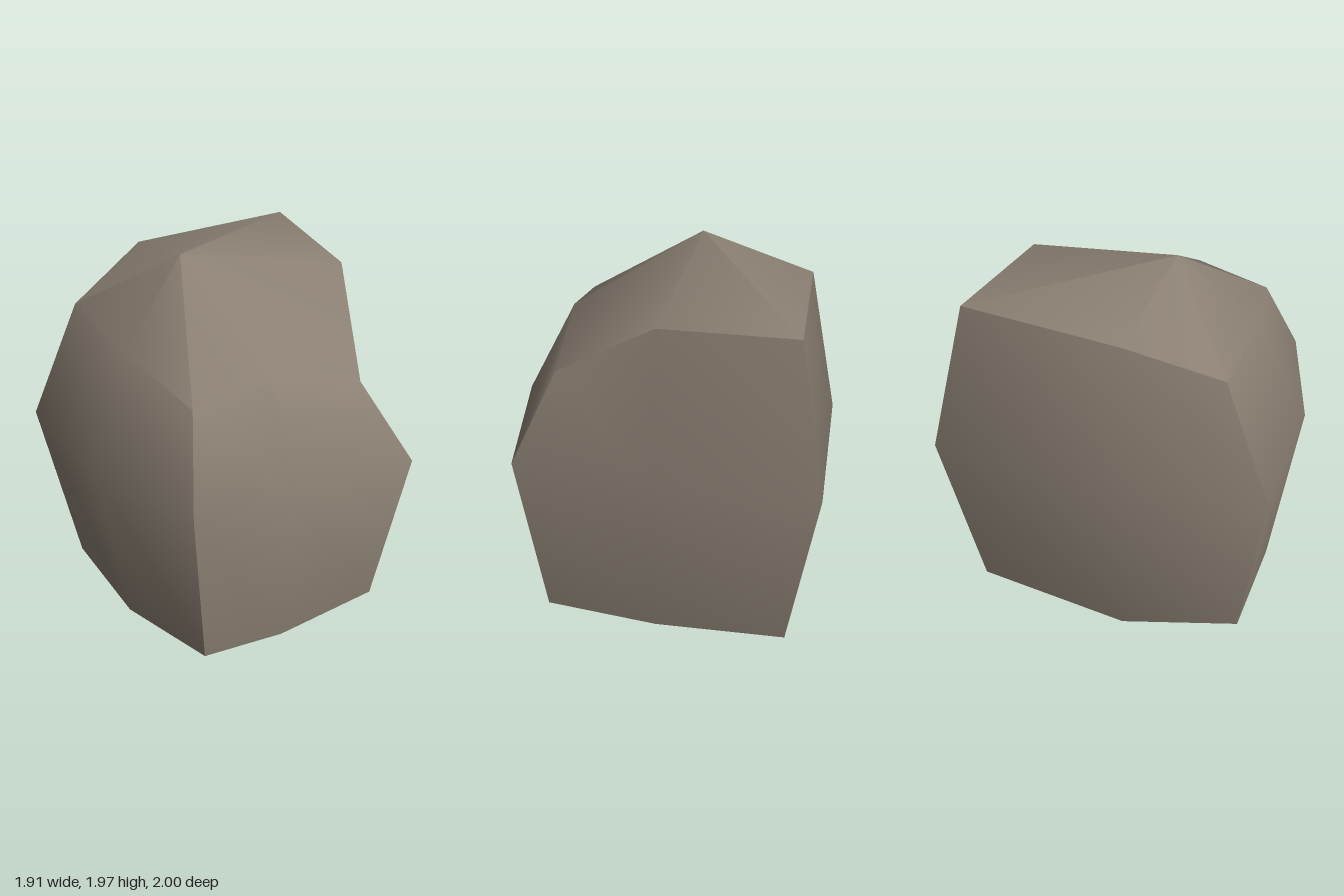
import * as THREE from 'three';
import { toCreasedNormals } from 'three/addons/utils/BufferGeometryUtils.js';

export function createModel() {
  const stone = new THREE.MeshStandardMaterial({ color: 0x8a7f72 });
  stone.name = 'stone';

  // widest ring, clockwise seen from above
  const middle = [
    [-0.41, 0.97, -1.0], [0.34, 0.97, -0.59], [0.95, 0.97, -0.13], [0.68, 1.05, 0.55],
    [0.39, 1.06, 1.0], [-0.28, 1.02, 0.95], [-0.96, 0.97, 0.67], [-0.91, 0.97, -0.08],
  ];
  // the foot is the widest ring shrunk onto the ground
  const foot = middle.map(([x, , z]) => [x * 0.83, 0, z * 0.83 + 0.03]);
  // uneven shoulder below the peak
  const shoulder = [
    [-0.35, 1.77, -0.81], [0.27, 1.775, -0.47], [0.67, 1.41, -0.03], [0.44, 1.57, 0.43],
    [0.23, 1.51, 0.78], [-0.26, 1.6, 0.68], [-0.8, 1.6, 0.45], [-0.76, 1.775, -0.04],
  ];
  const peak = [-0.24, 1.97, 0.25];
  const base = [0, 0, 0.03];

  const positions = [];
  const tri = (a, b, c) => positions.push(...a, ...b, ...c);
  const rings = [foot, middle, shoulder];
  const n = middle.length;

  for (let i = 0; i < n; i++) {
    const j = (i + 1) % n;
    // side walls
    for (let r = 0; r < rings.length - 1; r++) {
      const lower = rings[r], upper = rings[r + 1];
      tri(lower[i], upper[i], upper[j]);
      tri(lower[i], upper[j], lower[j]);
    }
    // sloping crown and flat underside
    tri(peak, shoulder[j], shoulder[i]);
    tri(base, foot[i], foot[j]);
  }

  const geometry = new THREE.BufferGeometry();
  geometry.setAttribute('position', new THREE.Float32BufferAttribute(positions, 3));
  const rock = new THREE.Mesh(toCreasedNormals(geometry, 0.72), stone);
  rock.name = 'rock';

  const group = new THREE.Group();
  group.name = 'boulder';
  group.add(rock);
  return group;
}
